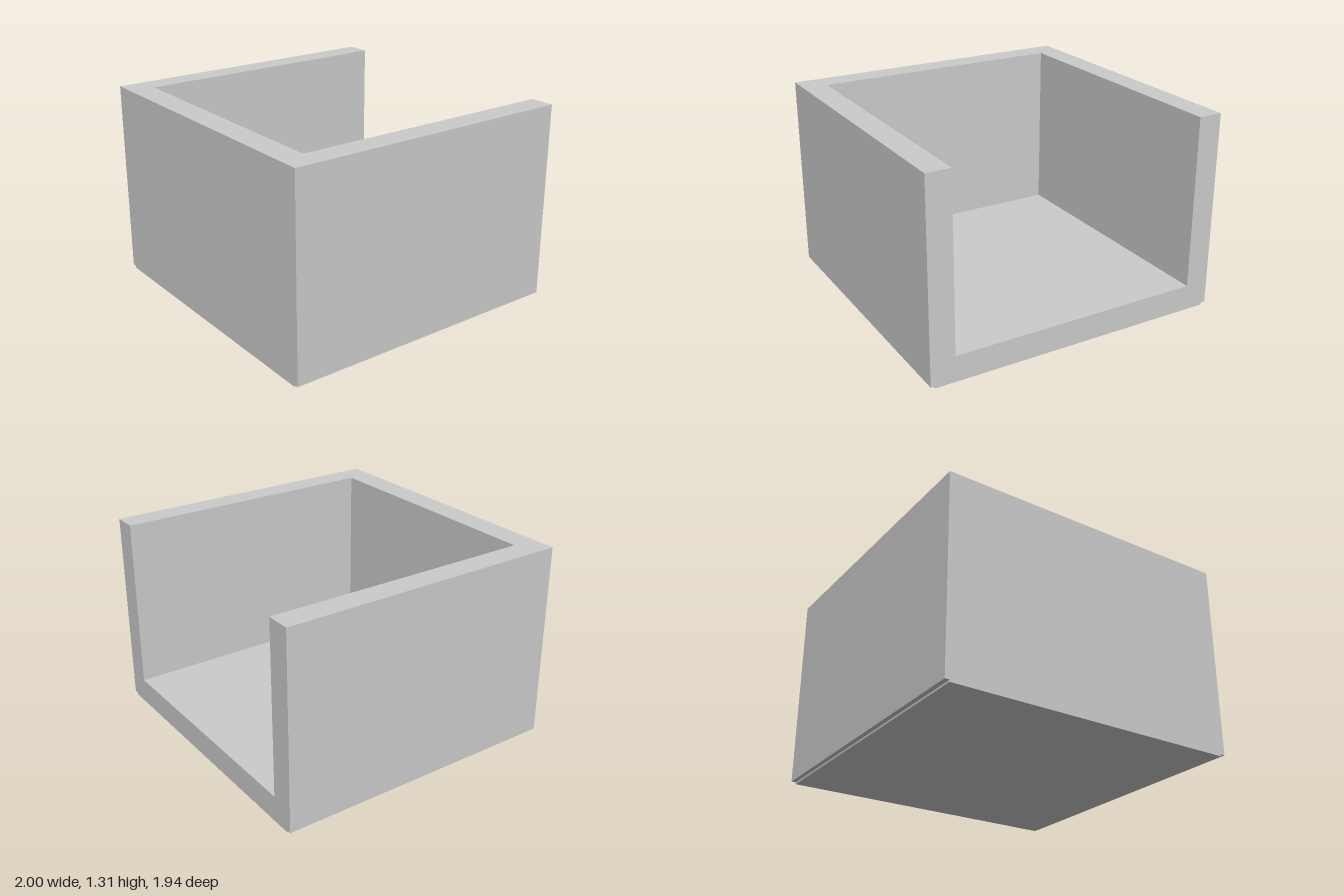
import * as THREE from 'three';

const W = 1, D = 0.97;            // half width, half depth
const INNER_X = 0.84, INNER_Z = 0.805;
const LIP = 0.013, FLOOR = 0.17, TOP = 1.305;

export function createModel() {
  const group = new THREE.Group();
  const material = new THREE.MeshStandardMaterial({ color: 0xcccccc, flatShading: true });

  const add = (name, geometry) => {
    const mesh = new THREE.Mesh(geometry, material);
    mesh.name = name;
    group.add(mesh);
  };
  const slab = (x, z0, z1, y0, y1) =>
    new THREE.BoxGeometry(2 * x, y1 - y0, z1 - z0).translate(0, (y0 + y1) / 2, (z0 + z1) / 2);

  // U-shaped wall, open at the back; plan given as (x, -z)
  const plan = new THREE.Shape([
    [-W, -D], [W, -D], [W, D], [INNER_X, D],
    [INNER_X, -INNER_Z], [-INNER_X, -INNER_Z], [-INNER_X, D], [-W, D],
  ].map(([x, y]) => new THREE.Vector2(x, y)));
  add('walls', new THREE.ExtrudeGeometry(plan, { depth: TOP - LIP, bevelEnabled: false })
    .rotateX(-Math.PI / 2).translate(0, LIP, 0));

  // Floor between the walls
  add('floor', slab(INNER_X, -D, INNER_Z, LIP, FLOOR));

  // Thin plate underneath, set in slightly at the sides
  add('basePlate', slab(0.97, -D, D, 0, LIP));

  return group;
}
